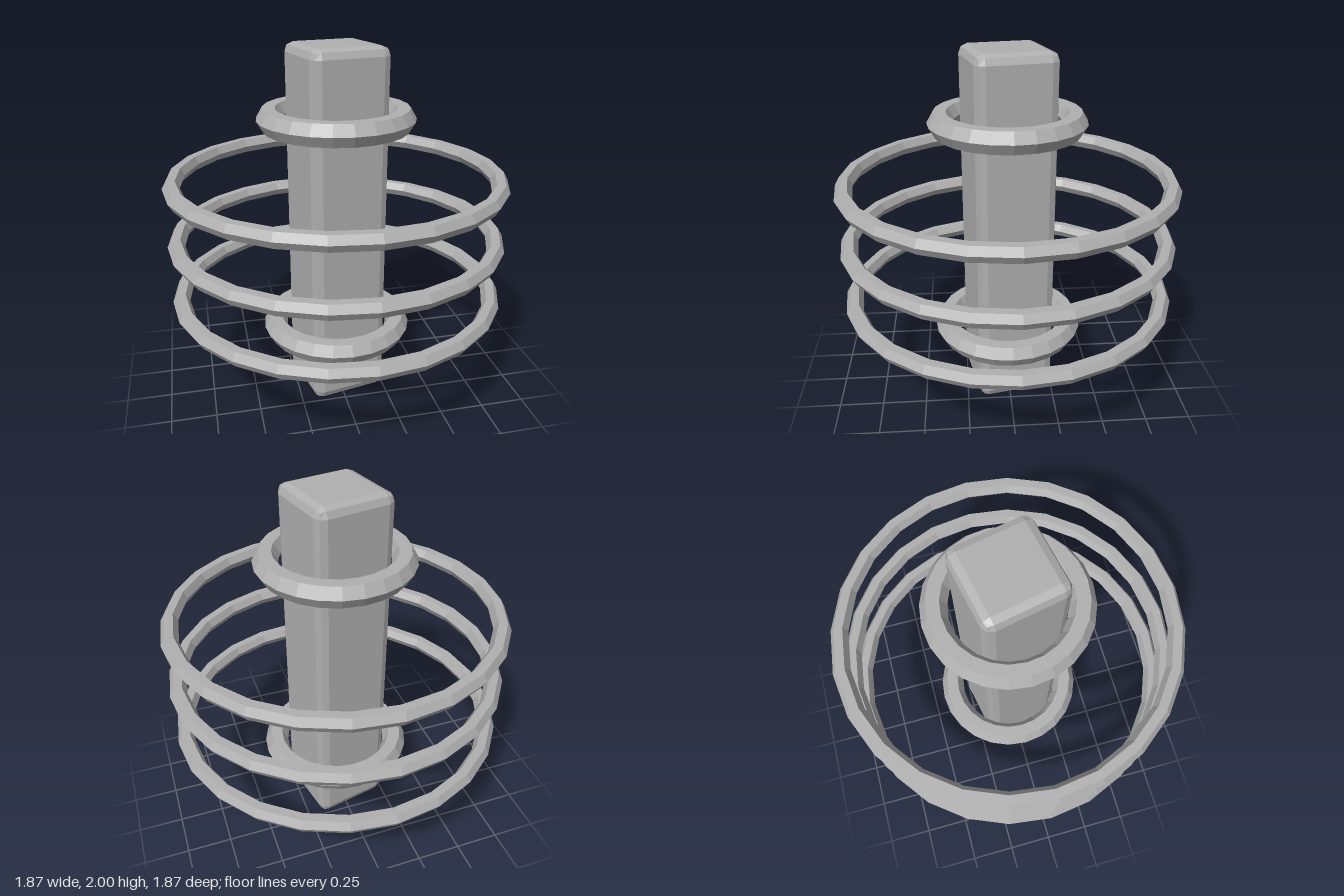
import * as THREE from 'three';
import { RoundedBoxGeometry } from 'three/addons/geometries/RoundedBoxGeometry.js';

export function createModel() {
  const model = new THREE.Group();
  const grey = new THREE.MeshStandardMaterial({ color: 0xb0b0b0, flatShading: true });
  grey.name = 'grey';

  // Central square column with bevelled edges, slightly twisted
  const column = new THREE.Mesh(new RoundedBoxGeometry(0.44, 2, 0.44, 1, 0.05), grey);
  column.name = 'column';
  column.position.y = 1;
  column.rotation.y = 0.2;
  model.add(column);

  // Horizontal rings with a hexagonal section
  function addRing(name, radius, thickness, y) {
    const geometry = new THREE.TorusGeometry(radius, thickness, 6, 24);
    geometry.rotateX(-Math.PI / 2);
    const ring = new THREE.Mesh(geometry, grey);
    ring.name = name;
    ring.position.y = y;
    model.add(ring);
  }

  // Small collars near both ends
  addRing('lowerCollar', 0.36, 0.068, 0.39);
  addRing('upperCollar', 0.36, 0.068, 1.615);

  // Three wide floating rings
  [0.615, 0.95, 1.283].forEach((y, i) => addRing('outerRing' + (i + 1), 0.888, 0.047, y));

  return model;
}
